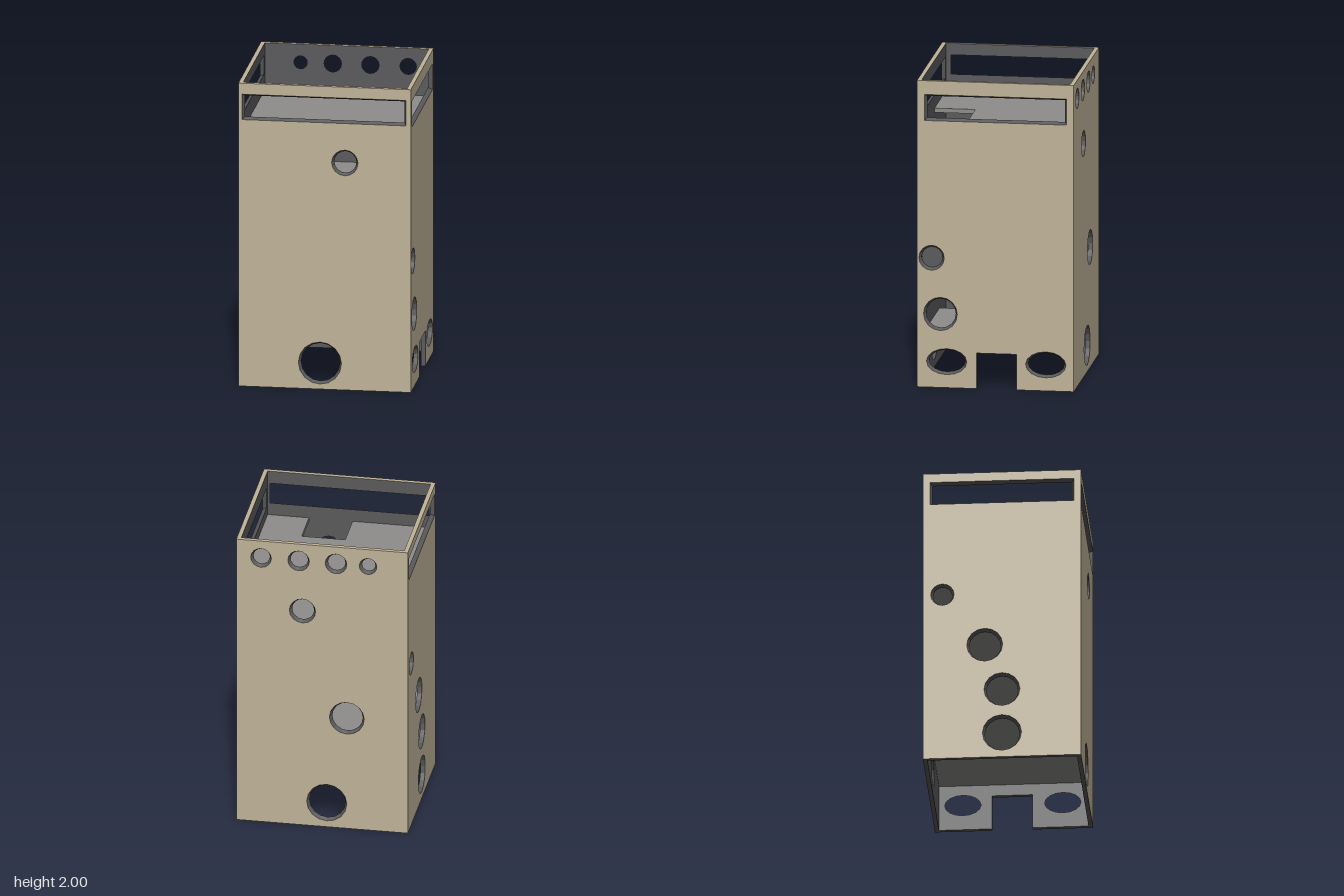
import * as THREE from 'three';

const HX = 0.555, HZ = 0.505, H = 2, T = 0.028, BEVEL = 0.014;

const shell = new THREE.MeshStandardMaterial({ color: 0xc0b398 });
shell.name = 'tan card';
const lining = new THREE.MeshStandardMaterial({ color: 0x5a5a5c, side: THREE.DoubleSide });
lining.name = 'dark lining';
const deck = new THREE.MeshStandardMaterial({ color: 0x8e8d8b });
deck.name = 'grey floor';

// Outline helpers: each returns points shrunk by s
const oval = (x, y, rx, ry = rx) => (s) => Array.from({ length: 16 }, (_, i) => {
  const a = (i / 16) * Math.PI * 2;
  return new THREE.Vector2(x + (rx - s) * Math.cos(a), y + (ry - s) * Math.sin(a));
});
const slot = (x0, x1, y0, y1) => (s) => [[x0 + s, y0 + s], [x1 - s, y0 + s], [x1 - s, y1 - s], [x0 + s, y1 - s]]
  .map((p) => new THREE.Vector2(...p));

// Strip joining an outer loop at depth 0 to an inner loop at depth -T
function strip(outer, inner, edges) {
  const pos = [];
  for (const i of edges) {
    const j = (i + 1) % outer.length;
    const a = outer[i], b = outer[j], c = inner[j], d = inner[i];
    pos.push(a.x, a.y, 0, d.x, d.y, -T, c.x, c.y, -T, a.x, a.y, 0, c.x, c.y, -T, b.x, b.y, 0);
  }
  const g = new THREE.BufferGeometry();
  g.setAttribute('position', new THREE.Float32BufferAttribute(pos, 3));
  g.computeVertexNormals();
  return g;
}

function part(group, name, geometry, material, z = 0) {
  const m = new THREE.Mesh(geometry, material);
  m.name = name;
  m.position.z = z;
  group.add(m);
}

// One wall: tan outside, dark inside, bevelled openings and an optional doorway
function wall(name, half, holes, door) {
  const g = new THREE.Group();
  g.name = name;
  const contour = (w) => [
    [-w, 0],
    ...(door ? [[door[0], 0], [door[0], door[2]], [door[1], door[2]], [door[1], 0]] : []),
    [w, 0], [w, H], [-w, H],
  ].map((p) => new THREE.Vector2(...p));
  const face = (w, s) => {
    const shape = new THREE.Shape(contour(w));
    shape.holes = holes.map((h) => new THREE.Path(h(s)));
    return new THREE.ShapeGeometry(shape);
  };
  part(g, 'outerFace', face(half, 0), shell);
  part(g, 'innerFace', face(half - T, BEVEL), lining, -T);
  const o = contour(half), i = contour(half - T), n = o.length;
  part(g, 'topRim', strip(o, i, [n - 2]), shell);
  part(g, 'bottomRim', strip(o, i, Array.from({ length: n - 3 }, (_, k) => k)), lining);
  holes.forEach((h) => {
    const a = h(0);
    part(g, 'openingEdge', strip(a, h(BEVEL), a.map((_, k) => k)), lining);
  });
  return g;
}

// Floor with a rectangular climbing hole given as x0, x1, z0, z1
function floor(y, [x0, x1, z0, z1]) {
  const w = HX - T, d = HZ - T, t = 0.028;
  const g = new THREE.Group();
  g.name = 'floor';
  const slab = (a, b, c, e) => {
    if (b - a < 0.005 || e - c < 0.005) return;
    const m = new THREE.Mesh(new THREE.BoxGeometry(b - a, t, e - c), deck);
    m.name = 'floorSlab';
    m.position.set((a + b) / 2, y - t / 2, (c + e) / 2);
    g.add(m);
  };
  slab(-w, w, -d, z0);
  slab(-w, w, z1, d);
  slab(-w, x0, z0, z1);
  slab(x1, w, z0, z1);
  return g;
}

export function createModel() {
  const model = new THREE.Group();
  model.name = 'playTower';

  const front = wall('frontWall', HX, [
    slot(-0.53, 0.525, 1.76, 1.928), oval(0.13, 1.5, 0.085), oval(-0.03, 0.172, 0.139),
  ]);
  front.position.z = HZ;

  const back = wall('backWall', HX, [
    oval(0.297, 1.88, 0.057), oval(0.09, 1.88, 0.07), oval(-0.152, 1.88, 0.07), oval(-0.395, 1.88, 0.067),
    oval(-0.127, 1.525, 0.085), oval(0.16, 0.785, 0.113), oval(0.03, 0.172, 0.13),
  ]);
  back.position.z = -HZ;
  back.rotation.y = Math.PI;

  const doorSide = wall('doorWall', HZ, [
    slot(-0.455, 0.46, 1.74, 1.91), oval(-0.41, 0.845, 0.082), oval(-0.353, 0.48, 0.109),
    oval(-0.313, 0.17, 0.13, 0.085), oval(0.325, 0.17, 0.13, 0.085),
  ], [-0.12, 0.138, 0.232]);
  doorSide.position.x = HX;
  doorSide.rotation.y = Math.PI / 2;

  const plainSide = wall('plainSideWall', HZ, [
    slot(-0.46, 0.46, 1.786, 1.94), oval(-0.38, 1.15, 0.075), oval(-0.11, 0.79, 0.115),
    oval(0, 0.475, 0.115), oval(0, 0.17, 0.125),
  ]);
  plainSide.position.x = -HX;
  plainSide.rotation.y = -Math.PI / 2;
  model.add(front, back, doorSide, plainSide);

  // Storeys, each with its climbing hole in a different place
  const w = HX - T, d = HZ - T;
  model.add(
    floor(0.335, [-w, -0.245, 0.2, d]),
    floor(0.665, [0.245, w, -d, -0.2]),
    floor(1.0, [-w, -0.245, 0.2, d]),
    floor(1.37, [-w, -0.245, -d, -0.2]),
    floor(1.69, [-0.022, 0.26, 0.213, d]),
  );

  // Divider in the upper storey
  const divider = new THREE.Mesh(new THREE.BoxGeometry(2 * w, 0.292, T), lining);
  divider.name = 'divider';
  divider.position.set(0, 1.516, 0);
  model.add(divider);
  return model;
}
